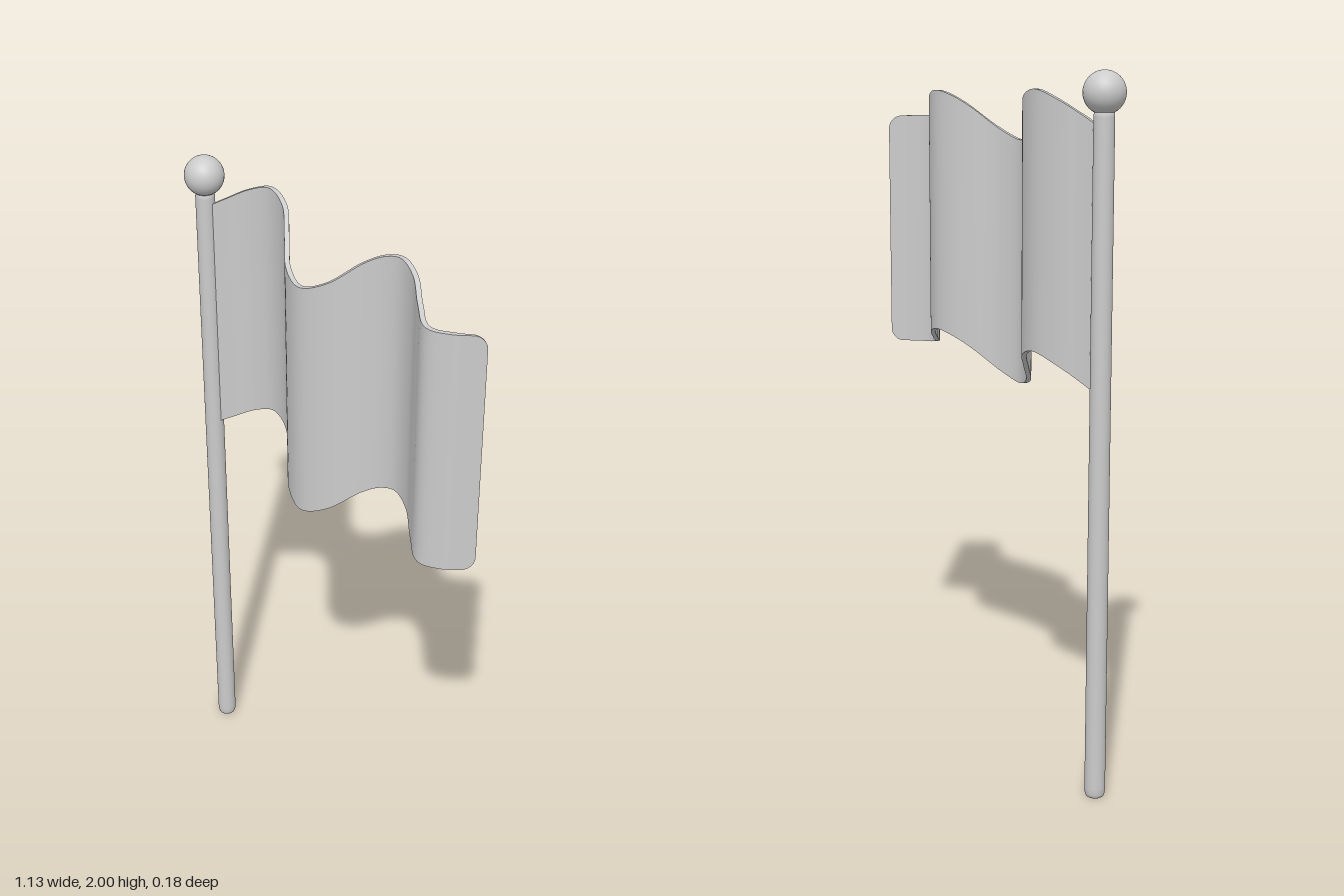
import * as THREE from 'three';

const material = new THREE.MeshStandardMaterial({ color: 0xcccccc, side: THREE.DoubleSide });
const POLE_X = -0.51, POLE_Z = -0.018;
const FLAG_HEIGHT = 0.702, THICKNESS = 0.014, CORNER = 0.04;

// Top edge of the cloth: x, y, z
const edge = new THREE.CatmullRomCurve3([
  [-0.5, 1.855, -0.02], [-0.45, 1.885, -0.04], [-0.38, 1.925, -0.071], [-0.305, 1.948, -0.084],
  [-0.23, 1.925, -0.064], [-0.165, 1.872, -0.01], [-0.1, 1.818, 0.046], [-0.03, 1.796, 0.07],
  [0.05, 1.826, 0.05], [0.13, 1.893, -0.008], [0.18, 1.92, -0.034], [0.235, 1.93, -0.042],
  [0.3, 1.91, -0.02], [0.37, 1.872, 0.035], [0.435, 1.849, 0.078], [0.5, 1.845, 0.052],
  [0.562, 1.842, -0.006],
].map(p => new THREE.Vector3(...p)));
edge.arcLengthDivisions = 800;

function waveFlag() {
  const geo = new THREE.BoxGeometry(1, 1, 1, 110, 12, 1);
  const pos = geo.attributes.position;
  const length = edge.getLength();
  for (let i = 0; i < pos.count; i++) {
    // Columns gather towards the free end for its rounded corners
    const t = pos.getX(i) + 0.5;
    const u = Math.min(1, t < 0.85 ? t * 0.96 / 0.85 : 1 - 0.04 * ((1 - t) / 0.15) ** 2);
    const p = edge.getPointAt(u), tan = edge.getTangentAt(u);
    const normal = new THREE.Vector3(-tan.z, 0, tan.x).normalize();
    const toEnd = (1 - u) * length;
    const k = Math.max(0, CORNER - toEnd);
    const trim = CORNER - Math.sqrt(Math.max(0, CORNER * CORNER - k * k));
    const taper = Math.min(1, 0.15 + toEnd / 0.1);
    const y = p.y - FLAG_HEIGHT / 2 + pos.getY(i) * (FLAG_HEIGHT - 2 * trim);
    p.addScaledVector(normal, pos.getZ(i) * THICKNESS * taper);
    pos.setXYZ(i, p.x, y, p.z);
  }
  geo.computeVertexNormals();
  return geo;
}

export function createModel() {
  const group = new THREE.Group();
  const add = (name, geo, x = 0, y = 0, z = 0) => {
    const mesh = new THREE.Mesh(geo, material);
    mesh.name = name;
    mesh.position.set(x, y, z);
    group.add(mesh);
  };

  // Pole with softly rounded ends
  const profile = [[0, 0], [0.021, 0], [0.025, 0.003], [0.028, 0.012], [0.029, 0.03],
    [0.028, 1.88], [0.026, 1.9], [0, 1.905]].map(p => new THREE.Vector2(...p));
  add('pole', new THREE.LatheGeometry(profile, 32), POLE_X, 0, POLE_Z);

  // Ball on top
  add('finial', new THREE.SphereGeometry(0.057, 32, 20), POLE_X, 1.943, POLE_Z);

  // Waving cloth
  add('flag', waveFlag());
  return group;
}
